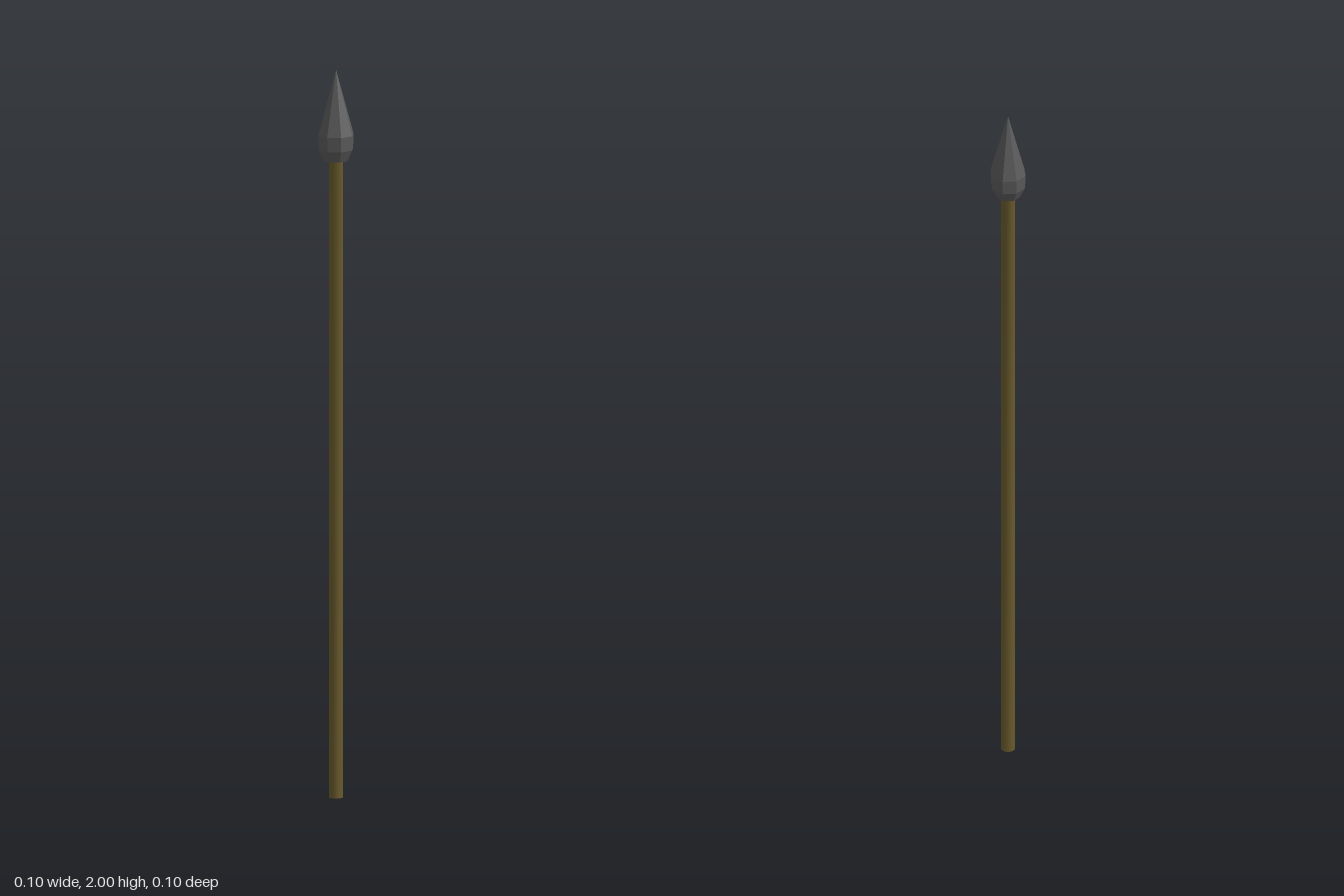
import * as THREE from 'three';
import { mergeVertices } from 'three/addons/utils/BufferGeometryUtils.js';

const SIDES = 8;

export function createModel() {
  const spear = new THREE.Group();
  spear.name = 'spear';

  // Shaft: one closed octagonal rod, normals shared between sides and caps
  const shaftHeight = 1.76;
  let shaftGeometry = new THREE.CylinderGeometry(0.02, 0.02, shaftHeight, SIDES);
  shaftGeometry.deleteAttribute('uv');
  shaftGeometry.deleteAttribute('normal');
  shaftGeometry = mergeVertices(shaftGeometry);
  shaftGeometry.computeVertexNormals();
  shaftGeometry.translate(0, shaftHeight / 2, 0);
  const shaft = new THREE.Mesh(
    shaftGeometry,
    new THREE.MeshStandardMaterial({ color: 0x685a2c })
  );
  shaft.name = 'shaft';
  spear.add(shaft);

  // Head: faceted point with a closed, tapered base
  const profile = [
    [0, 1.75],
    [0.034, 1.75],
    [0.048, 1.78],
    [0.05, 1.82],
    [0, 2],
  ].map(([r, y]) => new THREE.Vector2(r, y));
  const head = new THREE.Mesh(
    new THREE.LatheGeometry(profile, SIDES),
    new THREE.MeshStandardMaterial({ color: 0x5a5a5a, flatShading: true })
  );
  head.name = 'spearhead';
  spear.add(head);

  return spear;
}
